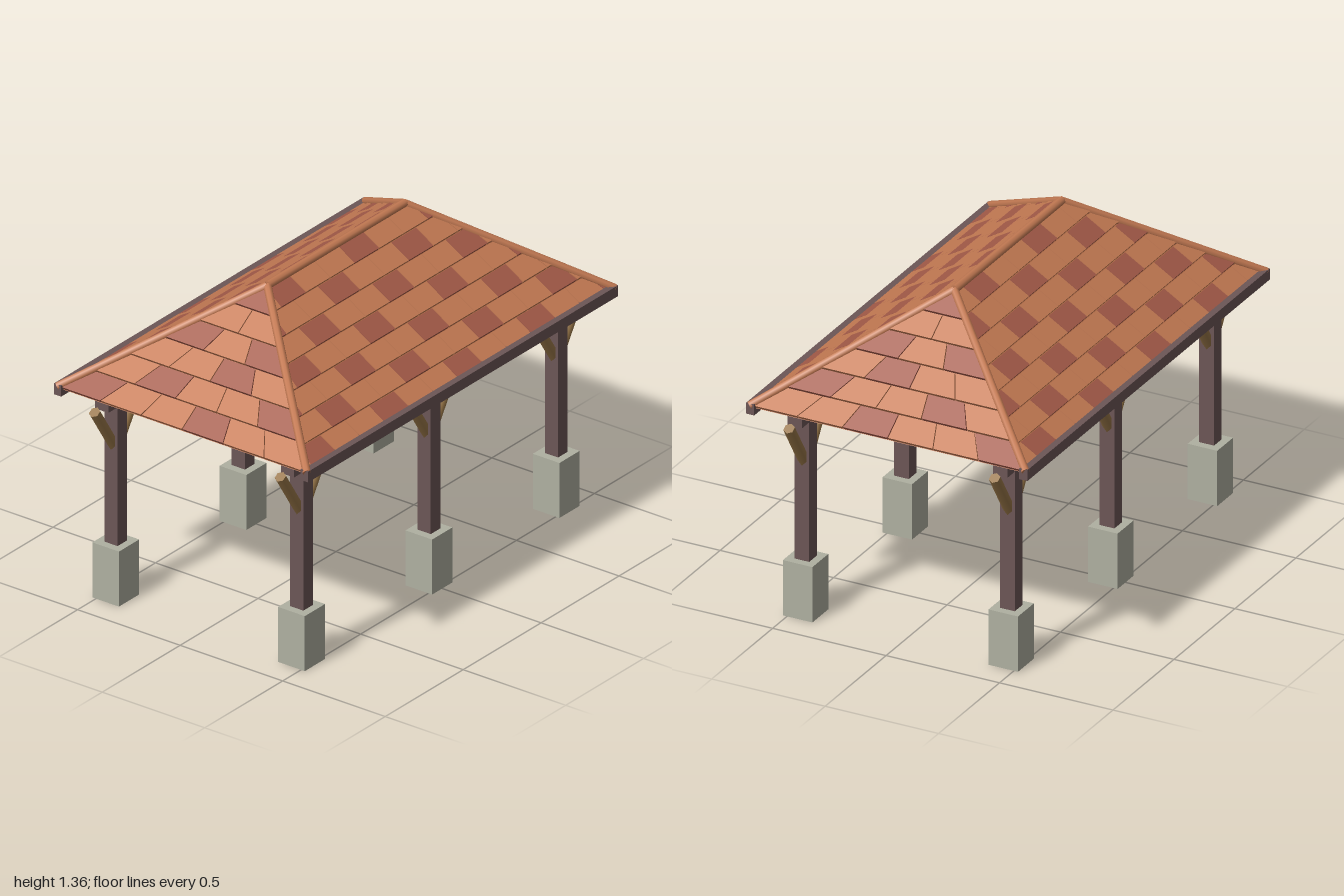
import * as THREE from 'three';
import { mergeGeometries } from 'three/addons/utils/BufferGeometryUtils.js';

const mat = (name, color) => {
  const m = new THREE.MeshStandardMaterial({ color });
  m.name = name;
  return m;
};

// six-sided slab on a quad (a, b, c, d counter-clockwise from outside)
function slab(quad, n, lowLift, highLift) {
  const lift = [lowLift, lowLift, highLift, highLift];
  const top = quad.map((p, i) => p.clone().addScaledVector(n, lift[i]));
  const pos = [];
  const face = (a, b, c, d) => [a, b, c, a, c, d].forEach(p => pos.push(p.x, p.y, p.z));
  face(...top);
  face(quad[3], quad[2], quad[1], quad[0]);
  for (let i = 0; i < 4; i++) {
    const j = (i + 1) % 4;
    face(quad[i], quad[j], top[j], top[i]);
  }
  const g = new THREE.BufferGeometry();
  g.setAttribute('position', new THREE.Float32BufferAttribute(pos, 3));
  g.computeVertexNormals();
  return g;
}

export function createModel() {
  const model = new THREE.Group();
  const timber = mat('dark timber', 0x6c5656);
  const stone = mat('stone', 0xafb0a1);
  const brown = mat('brace wood', 0x977547);
  const orange = mat('orange clay', 0xc47a53);
  const red = mat('red clay', 0xa35a48);
  const under = mat('roof deck', 0xb87049);
  const iron = mat('iron', 0x465060);

  const add = (name, geo, material, x = 0, y = 0, z = 0, parent = model) => {
    const m = new THREE.Mesh(geo, material);
    m.name = name;
    m.position.set(x, y, z);
    parent.add(m);
    return m;
  };
  const box = (name, w, h, d, material, x, y, z, parent) =>
    add(name, new THREE.BoxGeometry(w, h, d), material, x, y, z, parent);
  const rod = (name, a, b, r, sides, material) => {
    const dir = b.clone().sub(a);
    const mid = a.clone().add(b).multiplyScalar(0.5);
    const geo = new THREE.CylinderGeometry(r, r, dir.length(), sides, 1, false, Math.PI / 2);
    const m = add(name, geo, material, mid.x, mid.y, mid.z);
    m.quaternion.setFromUnitVectors(new THREE.Vector3(0, 1, 0), dir.normalize());
  };
  const V = (x, y, z) => new THREE.Vector3(x, y, z);

  // posts, footings, braces, beams and eave boards
  for (const z of [-0.453, 0.453]) {
    for (const x of [-0.817, 0, 0.817]) {
      box('footing', 0.13, 0.24, 0.13, stone, x, 0.12, z);
      box('post', 0.062, 0.67, 0.065, timber, x, 0.575, z);
      for (const s of [-1, 1])
        rod('brace', V(x, 0.645, z), V(x + s * 0.136, 0.857, z), 0.0235, 6, brown);
    }
    box('beam', 1.814, 0.064, 0.064, timber, 0, 0.877, z);
    box('eaveBoard', 1.99, 0.047, 0.036, timber, 0, 0.925, Math.sign(z) * 0.602);
  }

  // solid hipped roof body
  const HX = 0.98, HZ = 0.6, RX = 0.44, Y0 = 0.926, Y1 = 1.335;
  const body = new THREE.BoxGeometry(2, 1, 2).toNonIndexed();
  const p = body.attributes.position;
  for (let i = 0; i < p.count; i++) {
    const up = p.getY(i) > 0;
    p.setXYZ(i, p.getX(i) * (up ? RX : HX), up ? Y1 : Y0, p.getZ(i) * (up ? 0.002 : HZ));
  }
  body.computeVertexNormals();
  add('roofBody', body, under);

  // tiled slopes: each is laid facing +z, then turned into place
  const GAP = 0.002, PITCH = 0.157;
  function slope(name, angle, w0, w1, d0, d1, rows, courseTiles) {
    const n = V(0, d0 - d1, Y1 - Y0).normalize();
    const piles = { orange: [], red: [] };
    for (let r = 0; r < rows; r++) {
      const v0 = r / rows + 0.003, v1 = (r + 1) / rows - 0.003;
      const half = v => w0 + (w1 - w0) * v;
      const at = (x, v) => V(x, Y0 + (Y1 - Y0) * v, d0 + (d1 - d0) * v);
      for (const t of courseTiles(r, half(v0), half(v1))) {
        const quad = [at(t.a + GAP, v0), at(t.b - GAP, v0), at(t.c - GAP, v1), at(t.d + GAP, v1)];
        piles[t.red ? 'red' : 'orange'].push(slab(quad, n, 0.015, 0.009));
      }
    }
    const g = new THREE.Group();
    g.name = name;
    g.rotation.y = angle;
    add('orangeTiles', mergeGeometries(piles.orange), orange, 0, 0, 0, g);
    add('redTiles', mergeGeometries(piles.red), red, 0, 0, 0, g);
    model.add(g);
  }
  const mod3 = k => ((k % 3) + 3) % 3;

  // straight bond, trimmed to the hips with slightly proud corners
  const bond = (shift, redEdge, redCentred) => (r, lo, hi) => {
    const centred = (r + shift) % 2 === 1;
    const proud = hi + 0.016;
    const clip = (x, h) => Math.max(-h, Math.min(h, x));
    const out = [];
    for (let k = -8; k <= 8; k++) {
      const x0 = (k - (centred ? 0.5 : 0)) * PITCH, x1 = x0 + PITCH;
      const t = { a: clip(x0, lo), b: clip(x1, lo), c: clip(x1, proud), d: clip(x0, proud) };
      if (t.b - t.a < 0.02) continue;
      if (t.c - t.d < 3 * GAP) {
        const m = x0 < 0 ? -proud : proud;
        t.c = m + GAP;
        t.d = m - GAP;
      }
      t.red = mod3(k) === (centred ? redCentred : redEdge);
      out.push(t);
    }
    return out;
  };
  // fanned courses losing one tile per row
  const FAN_REDS = [[0, 3], [1, 4], [2], [0, 2], [], [0]];
  const fan = dir => (r, lo, hi) => {
    const count = 6 - r;
    return Array.from({ length: count }, (_, i) => {
      const f0 = dir * (2 * i / count - 1), f1 = dir * (2 * (i + 1) / count - 1);
      const l = Math.min(f0, f1), h = Math.max(f0, f1);
      return { a: l * lo, b: h * lo, c: h * hi, d: l * hi, red: FAN_REDS[r].includes(i) };
    });
  };
  slope('frontSlope', 0, HX, RX, HZ, 0, 7, bond(0, 0, 2));
  slope('backSlope', Math.PI, HX, RX, HZ, 0, 7, bond(1, 2, 1));
  slope('leftSlope', Math.PI / 2, HZ, 0.004, HX, RX, 6, fan(-1));
  slope('rightSlope', -Math.PI / 2, HZ, 0.004, HX, RX, 6, fan(1));

  // ridge and hip caps
  rod('ridgeCap', V(-RX, 1.341, 0), V(RX, 1.341, 0), 0.019, 8, orange);
  for (const x of [-1, 1])
    for (const z of [-1, 1])
      rod('hipCap', V(x * RX, 1.341, 0), V(x * 0.988, 0.936, z * 0.609), 0.017, 8, orange);

  // hanging lanterns
  for (const x of [-0.416, 0.416]) {
    const g = new THREE.Group();
    g.name = 'lantern';
    g.position.set(x, 0, 0.195);
    model.add(g);
    box('hanger', 0.018, 0.1, 0.018, iron, 0, 0.877, 0, g);
    box('lanternCap', 0.111, 0.028, 0.111, iron, 0, 0.814, 0, g);
    box('lanternBase', 0.111, 0.024, 0.111, iron, 0, 0.665, 0, g);
    for (const sx of [-1, 1])
      for (const sz of [-1, 1])
        box('lanternBar', 0.018, 0.13, 0.018, iron, sx * 0.043, 0.738, sz * 0.043, g);
    box('lanternLight', 0.065, 0.096, 0.065, orange, 0, 0.741, 0, g);
  }
  return model;
}
